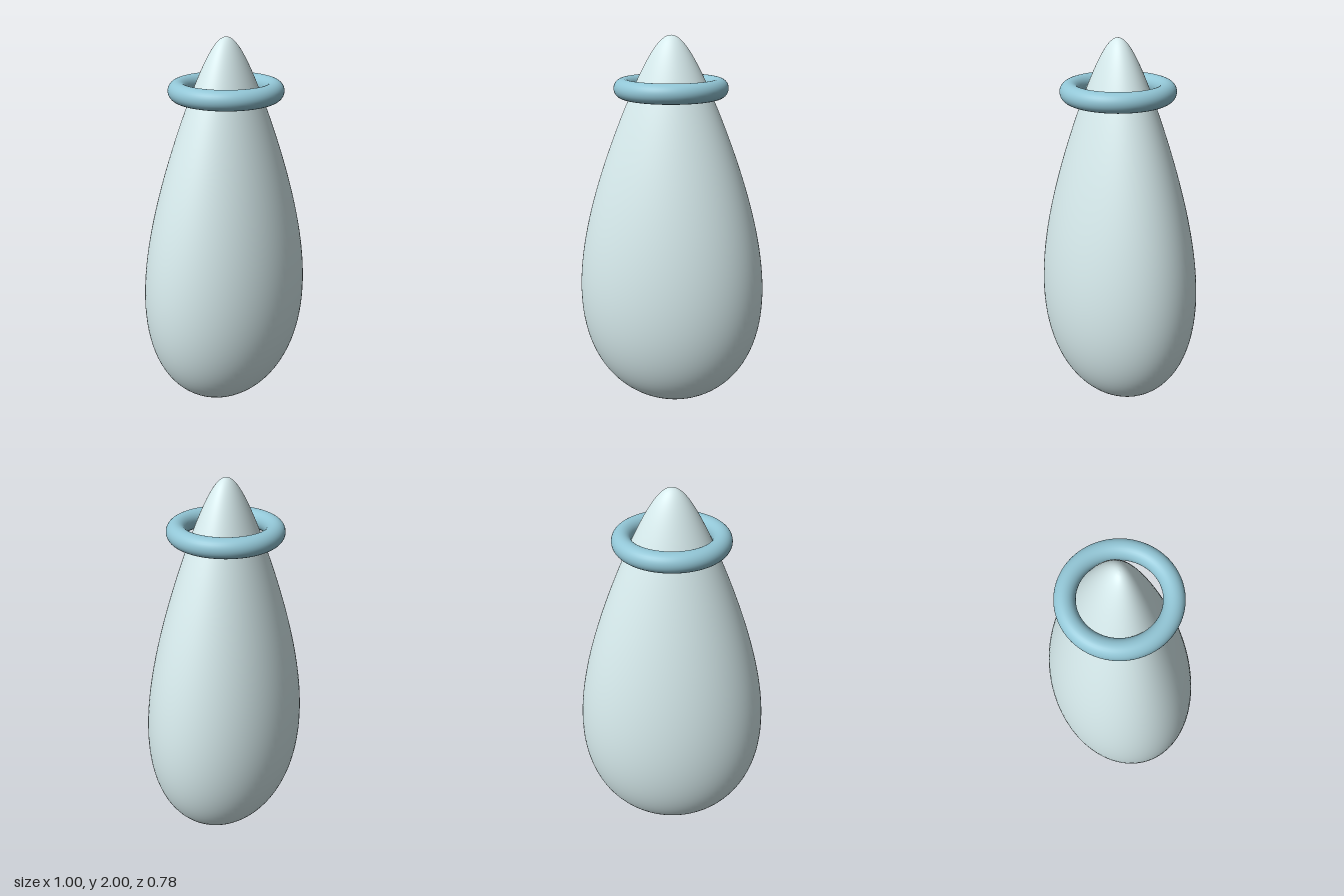
import * as THREE from 'three';

export function createModel() {
  const model = new THREE.Group();

  // Teardrop body: a round profile that narrows towards the top, flattened in depth
  const profile = [];
  const steps = 64;
  for (let i = 0; i <= steps; i++) {
    const c = -Math.cos((Math.PI * i) / steps);
    const s = Math.sin((Math.PI * i) / steps);
    const radius = i % steps === 0 ? 0 : s * (0.455 - 0.228 * c);
    profile.push(new THREE.Vector2(radius, 1 + c));
  }
  const body = new THREE.Mesh(
    new THREE.LatheGeometry(profile, 96),
    new THREE.MeshStandardMaterial({ color: 0xd6eaec })
  );
  body.name = 'body';
  body.scale.z = 0.78;
  model.add(body);

  // Round ring around the neck
  const ring = new THREE.Mesh(
    new THREE.TorusGeometry(0.24, 0.049, 32, 96),
    new THREE.MeshStandardMaterial({ color: 0x92c6d6 })
  );
  ring.name = 'neckRing';
  ring.rotation.x = Math.PI / 2;
  ring.position.y = 1.742;
  model.add(ring);

  return model;
}
